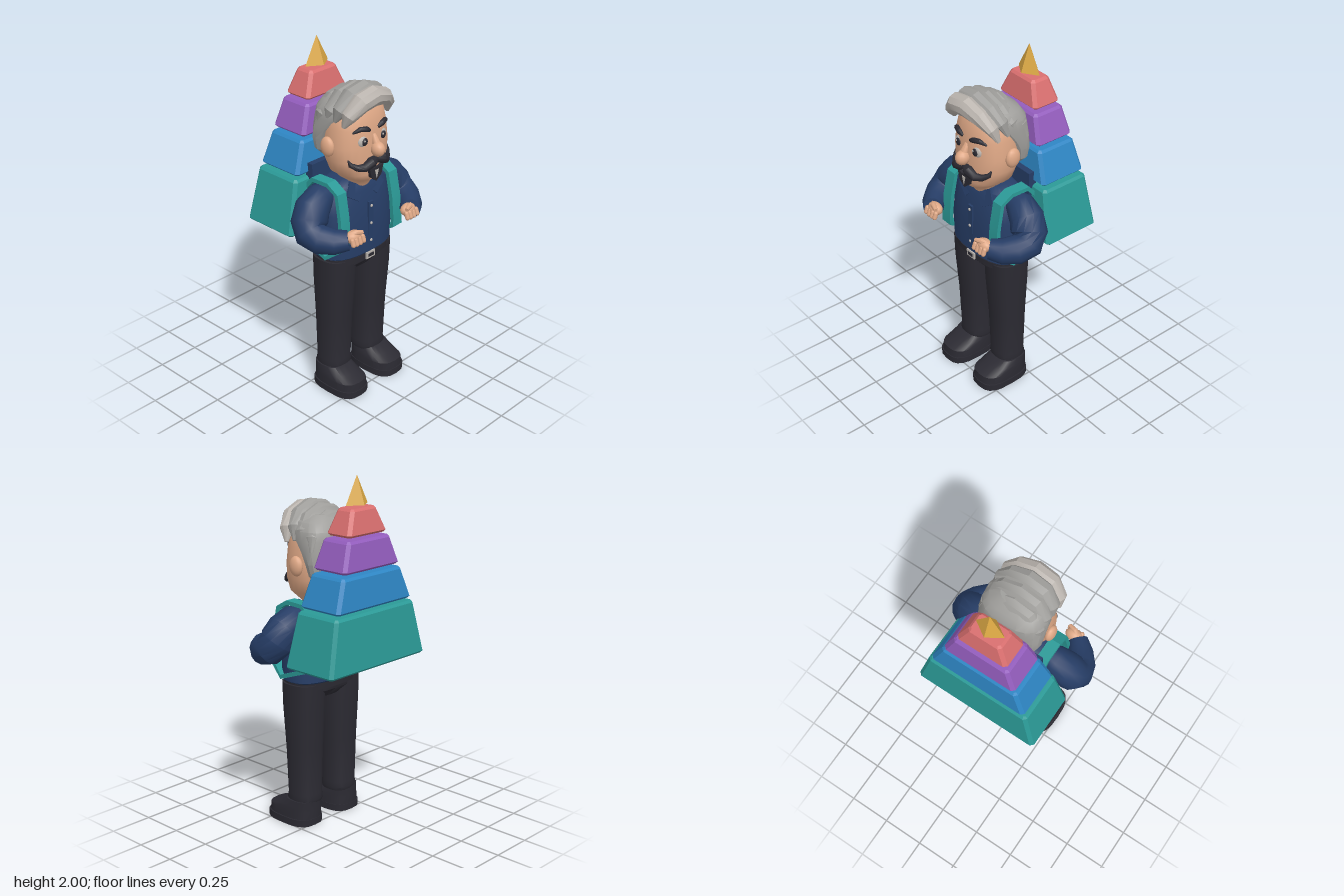
import * as THREE from 'three';
import { toCreasedNormals } from 'three/addons/utils/BufferGeometryUtils.js';

const mat = (name, hex) => {
  const m = new THREE.MeshStandardMaterial({ color: hex });
  m.name = name;
  return m;
};
const V = (x, y, z) => new THREE.Vector3(x, y, z);

// Closed skin over a list of rings with equal point counts
function loft(rings, crease = 0.6) {
  const n = rings[0].length, pos = [], idx = [];
  rings.forEach(r => r.forEach(p => pos.push(p.x, p.y, p.z)));
  for (let k = 0; k < rings.length - 1; k++) {
    for (let i = 0; i < n; i++) {
      const a = k * n + i, b = k * n + (i + 1) % n;
      idx.push(a, a + n, b, b, a + n, b + n);
    }
  }
  const last = (rings.length - 1) * n;
  [[0, true], [last, false]].forEach(([start, bottom]) => {
    const c = V(0, 0, 0);
    for (let i = 0; i < n; i++) c.add(rings[start / n][i]);
    c.divideScalar(n);
    const ci = pos.length / 3;
    pos.push(c.x, c.y, c.z);
    for (let i = 0; i < n; i++) {
      const a = start + i, b = start + (i + 1) % n;
      idx.push(ci, bottom ? a : b, bottom ? b : a);
    }
  });
  const g = new THREE.BufferGeometry();
  g.setAttribute('position', new THREE.Float32BufferAttribute(pos, 3));
  g.setIndex(idx);
  return toCreasedNormals(g, crease);
}

// Upright form from rows of [y, centreZ, radiusX, radiusZ], with rounded-square sections
function upright(rows, { x = 0, power = 2.4, n = 20, crease = 0.6 } = {}) {
  const f = v => Math.sign(v) * Math.abs(v) ** (2 / power);
  return loft(rows.map(([y, cz, rx, rz]) => Array.from({ length: n }, (_, i) => {
    const a = i / n * Math.PI * 2;
    return V(x + rx * f(Math.cos(a)), y, cz + rz * f(Math.sin(a)));
  })), crease);
}

// Tapered limb through rows of [x, y, z, radius, flattening]
function limb(rows, n = 12, ref = V(0, 0, 1), crease = 0.8) {
  const p = rows.map(r => V(r[0], r[1], r[2]));
  return loft(rows.map((r, k) => {
    const t = p[Math.min(k + 1, p.length - 1)].clone().sub(p[Math.max(k - 1, 0)]).normalize();
    const u = ref.clone().addScaledVector(t, -ref.dot(t)).normalize();
    const v = u.clone().cross(t);
    return Array.from({ length: n }, (_, i) => {
      const a = i / n * Math.PI * 2;
      return p[k].clone().addScaledVector(u, r[3] * Math.cos(a))
        .addScaledVector(v, r[3] * (r[4] ?? 1) * Math.sin(a));
    });
  }), crease);
}

// Rectangle section with cut corners
const cutRect = (y, z, hx, hz, c) => [
  [hx, hz - c], [hx - c, hz], [c - hx, hz], [-hx, hz - c],
  [-hx, c - hz], [c - hx, -hz], [hx - c, -hz], [hx, c - hz],
].map(([px, pz]) => V(px, y, z + pz));

export function createModel() {
  const model = new THREE.Group();
  model.name = 'manWithPyramidBackpack';
  const gold = mat('gold', 0xdba844), red = mat('coral', 0xd96f6f), purple = mat('purple', 0x935dbd);
  const blue = mat('blue', 0x2e86c4), teal = mat('teal', 0x2b9a97), skin = mat('skin', 0xdfa886);
  const navy = mat('navy', 0x263d66), charcoal = mat('charcoal', 0x2b2a32);
  const grey = mat('greyHair', 0x9f9e9b), pale = mat('paleGrey', 0xbab4ae);

  const add = (name, geo, m) => {
    const mesh = new THREE.Mesh(geo, m);
    mesh.name = name;
    model.add(mesh);
    return mesh;
  };
  const ball = (name, m, x, y, z, rx, ry, rz) => {
    const b = add(name, new THREE.SphereGeometry(1, 14, 10), m);
    b.position.set(x, y, z);
    b.scale.set(rx, ry, rz);
    return b;
  };
  const box = (name, m, w, h, d, x, y, z) => {
    const b = add(name, new THREE.BoxGeometry(w, h, d), m);
    b.position.set(x, y, z);
    return b;
  };
  const plate = (name, m, pts, depth) => add(name, new THREE.ExtrudeGeometry(
    new THREE.Shape(pts.map(([x, y]) => new THREE.Vector2(x, y))),
    { depth, bevelEnabled: false }), m);

  // Pyramid backpack: bevelled tiers [material, y0, y1, hx0, hz0, hx1, hz1]
  [
    [teal, 0.985, 1.295, 0.378, 0.173, 0.312, 0.148],
    [blue, 1.31, 1.493, 0.293, 0.142, 0.235, 0.122],
    [purple, 1.51, 1.675, 0.218, 0.118, 0.168, 0.098],
    [red, 1.69, 1.833, 0.15, 0.086, 0.1, 0.06],
  ].forEach(([m, y0, y1, ax, az, bx, bz]) => {
    const e = 0.013;
    add('pyramidTier', loft([
      cutRect(y0, -0.182, ax - e, az - e, 0.01), cutRect(y0 + e, -0.182, ax, az, 0.018),
      cutRect(y1 - e, -0.182, bx, bz, 0.018), cutRect(y1, -0.182, bx - e, bz - e, 0.01),
    ], 0.15), m);
  });
  const tip = new THREE.ConeGeometry(1, 0.155, 4).scale(0.085, 1, 0.055);
  add('pyramidTip', toCreasedNormals(tip, 0.15), gold).position.set(0, 1.9225, -0.18);
  box('backPanel', navy, 0.42, 0.44, 0.05, 0, 1.15, -0.035);
  box('lumbarPad', navy, 0.32, 0.06, 0.08, 0, 0.955, -0.07);

  // Shirt
  add('shirt', upright([
    [0.843, 0.085, 0.225, 0.128], [0.858, 0.085, 0.247, 0.14], [1.0, 0.088, 0.253, 0.138],
    [1.12, 0.083, 0.245, 0.13], [1.22, 0.075, 0.225, 0.116], [1.265, 0.07, 0.185, 0.104],
    [1.29, 0.065, 0.11, 0.075],
  ], { power: 2.6, n: 24 }), navy);
  box('placket', navy, 0.035, 0.26, 0.012, 0, 1.03, 0.221);
  [1.135, 1.03, 0.925].forEach(y => ball('button', pale, 0, y, 0.23, 0.009, 0.009, 0.005));

  // Trousers and belt
  add('hips', upright([[0.745, 0.085, 0.1, 0.08], [0.79, 0.085, 0.225, 0.115], [0.86, 0.085, 0.23, 0.12]], { power: 2.8 }), charcoal);
  add('belt', upright([[0.812, 0.087, 0.234, 0.133], [0.85, 0.087, 0.236, 0.135]], { power: 2.6, n: 24 }), charcoal);
  box('buckle', pale, 0.066, 0.04, 0.02, 0, 0.834, 0.219);
  box('buckleCentre', charcoal, 0.04, 0.018, 0.006, 0, 0.834, 0.229);

  // Head
  add('head', upright([
    [1.22, 0.095, 0.07, 0.08], [1.28, 0.105, 0.085, 0.09], [1.3, 0.12, 0.095, 0.118],
    [1.34, 0.115, 0.148, 0.132], [1.42, 0.11, 0.182, 0.138], [1.5, 0.105, 0.187, 0.143],
    [1.6, 0.1, 0.178, 0.14], [1.7, 0.09, 0.163, 0.13], [1.76, 0.08, 0.1, 0.09],
  ], { power: 2.3, n: 24, crease: 0.9 }), skin);
  add('noseBridge', limb([[0, 1.56, 0.235, 0.012], [0, 1.52, 0.255, 0.02], [0, 1.48, 0.265, 0.025]]), skin);
  ball('nose', skin, 0, 1.482, 0.268, 0.036, 0.042, 0.043);
  plate('mouth', pale, [[-0.035, 1.395], [0.035, 1.395], [0.028, 1.412], [-0.028, 1.412]], 0.009).position.z = 0.252;
  plate('goatee', charcoal, [[0, 1.295], [0.038, 1.325], [0.055, 1.385], [0.02, 1.375],
    [-0.02, 1.375], [-0.055, 1.385], [-0.038, 1.325]], 0.04).position.z = 0.222;
  plate('goateeStreak', pale, [[0, 1.312], [0.014, 1.362], [-0.014, 1.362]], 0.004).position.z = 0.261;

  // Hair: swept cap and overlapping quiff locks
  add('hairCap', upright([
    [1.415, -0.01, 0.135, 0.035], [1.45, -0.01, 0.172, 0.058], [1.52, -0.005, 0.19, 0.07],
    [1.58, 0.015, 0.19, 0.094], [1.64, 0.045, 0.188, 0.125], [1.69, 0.06, 0.182, 0.135],
    [1.735, 0.075, 0.155, 0.12], [1.77, 0.085, 0.1, 0.08],
  ], { power: 2.6, crease: 0.5 }), grey);
  [[0.218, 0, pale], [0.155, 0.014, grey], [0.09, -0.004, grey], [0.03, -0.035, grey]].forEach(([z, dy, m], k) => {
    add(k ? 'hairLock' : 'fringeLock', limb([
      [-0.172, 1.63 + dy, z - 0.035, 0.012, 0.8], [-0.155, 1.69 + dy, z - 0.015, 0.046, 0.85],
      [-0.09, 1.752 + dy, z + 0.002, 0.06, 0.95], [0, 1.768 + dy, z + 0.005, 0.062, 0.92],
      [0.09, 1.742 + dy, z - 0.005, 0.056, 0.85], [0.155, 1.69 + dy, z - 0.03, 0.042, 0.7],
      [0.178, 1.62 + dy, z - 0.05, 0.012, 0.7],
    ], 10, V(0, 0.35, 1).normalize(), 0.5), m);
  });

  // Mirrored parts
  for (const s of [-1, 1]) {
    // Face
    ball('ear', skin, s * 0.19, 1.5, 0.085, 0.028, 0.056, 0.045);
    ball('eye', pale, s * 0.07, 1.535, 0.222, 0.038, 0.036, 0.022);
    ball('pupil', charcoal, s * 0.07, 1.535, 0.24, 0.02, 0.022, 0.009);
    ball('eyeGlint', pale, s * 0.07 - 0.008, 1.543, 0.248, 0.006, 0.006, 0.003);
    add('eyebrow', limb([[s * 0.032, 1.59, 0.235, 0.011], [s * 0.06, 1.605, 0.24, 0.016],
      [s * 0.095, 1.61, 0.23, 0.014], [s * 0.128, 1.59, 0.205, 0.006]], 8), charcoal);
    add('moustache', limb([[0, 1.425, 0.255, 0.02], [s * 0.04, 1.418, 0.262, 0.03], [s * 0.08, 1.393, 0.25, 0.024],
      [s * 0.115, 1.396, 0.228, 0.018], [s * 0.142, 1.415, 0.205, 0.014], [s * 0.15, 1.442, 0.195, 0.004]], 10), charcoal);

    // Collar flap
    const flap = plate('collar', navy, [[0.012, 0.07], [0.07, 0], [0.145, 0.05], [0.095, 0.12]]
      .map(([x, y]) => [s * x, y]), 0.014);
    flap.position.set(0, 1.172, 0.19);
    flap.rotation.x = -0.35;

    // Sleeve
    add('sleeve', limb([
      [s * 0.15, 1.235, 0.07, 0.05], [s * 0.235, 1.215, 0.07, 0.082], [s * 0.295, 1.175, 0.075, 0.096],
      [s * 0.335, 1.11, 0.09, 0.1], [s * 0.358, 1.06, 0.125, 0.088], [s * 0.345, 1.042, 0.18, 0.08],
      [s * 0.3, 1.035, 0.245, 0.07], [s * 0.25, 1.045, 0.295, 0.055],
    ], 14, V(0, 1, 0.3).normalize()), navy);

    // Fist with curled fingers
    ball('palm', skin, s * 0.218, 1.057, 0.3, 0.05, 0.036, 0.036);
    for (let i = 0; i < 4; i++) {
      const f = add('finger', new THREE.CapsuleGeometry(0.0135, 0.026, 3, 8), skin);
      f.position.set(s * (0.176 + i * 0.026), 1.043 - (i % 3 ? 0.003 : 0), 0.332);
      f.rotation.x = -0.35;
    }
    add('thumb', limb([[s * 0.25, 1.07, 0.29, 0.014], [s * 0.215, 1.085, 0.315, 0.017], [s * 0.175, 1.078, 0.328, 0.011]], 8), skin);

    // Backpack strap: flat ribbon along [x, y, z]
    const path = [[0.2, 1.24, -0.04], [0.2, 1.297, 0.01], [0.2, 1.3, 0.12], [0.2, 1.26, 0.188], [0.203, 1.12, 0.215],
      [0.205, 1.0, 0.225], [0.21, 0.945, 0.225], [0.235, 0.88, 0.135], [0.235, 0.95, -0.05]].map(p => V(s * p[0], p[1], p[2]));
    add('strap', loft(path.map((p, k) => {
      const t = path[Math.min(k + 1, 8)].clone().sub(path[Math.max(k - 1, 0)]).normalize();
      const u = V(1, 0, 0).addScaledVector(t, -t.x).normalize();
      const v = u.clone().cross(t);
      return [[1, 1], [-1, 1], [-1, -1], [1, -1]].map(([a, b]) =>
        p.clone().addScaledVector(u, a * 0.033).addScaledVector(v, b * 0.012));
    }), 0.5), teal);

    // Leg and shoe
    add('leg', upright([
      [0.13, 0.078, 0.088, 0.086], [0.15, 0.078, 0.094, 0.093], [0.18, 0.078, 0.09, 0.088], [0.45, 0.08, 0.098, 0.096],
      [0.7, 0.084, 0.108, 0.112], [0.84, 0.085, 0.11, 0.116],
    ], { x: s * 0.138, power: 2.5 }), charcoal);
    add('shoeSole', upright([[0, 0.145, 0.108, 0.16], [0.04, 0.145, 0.108, 0.16]], { x: s * 0.152, power: 3 }), charcoal);
    add('shoe', upright([
      [0.038, 0.144, 0.104, 0.157], [0.085, 0.142, 0.102, 0.154], [0.112, 0.108, 0.096, 0.118],
      [0.145, 0.08, 0.088, 0.09],
    ], { x: s * 0.15, power: 2.8 }), charcoal);
  }
  return model;
}
